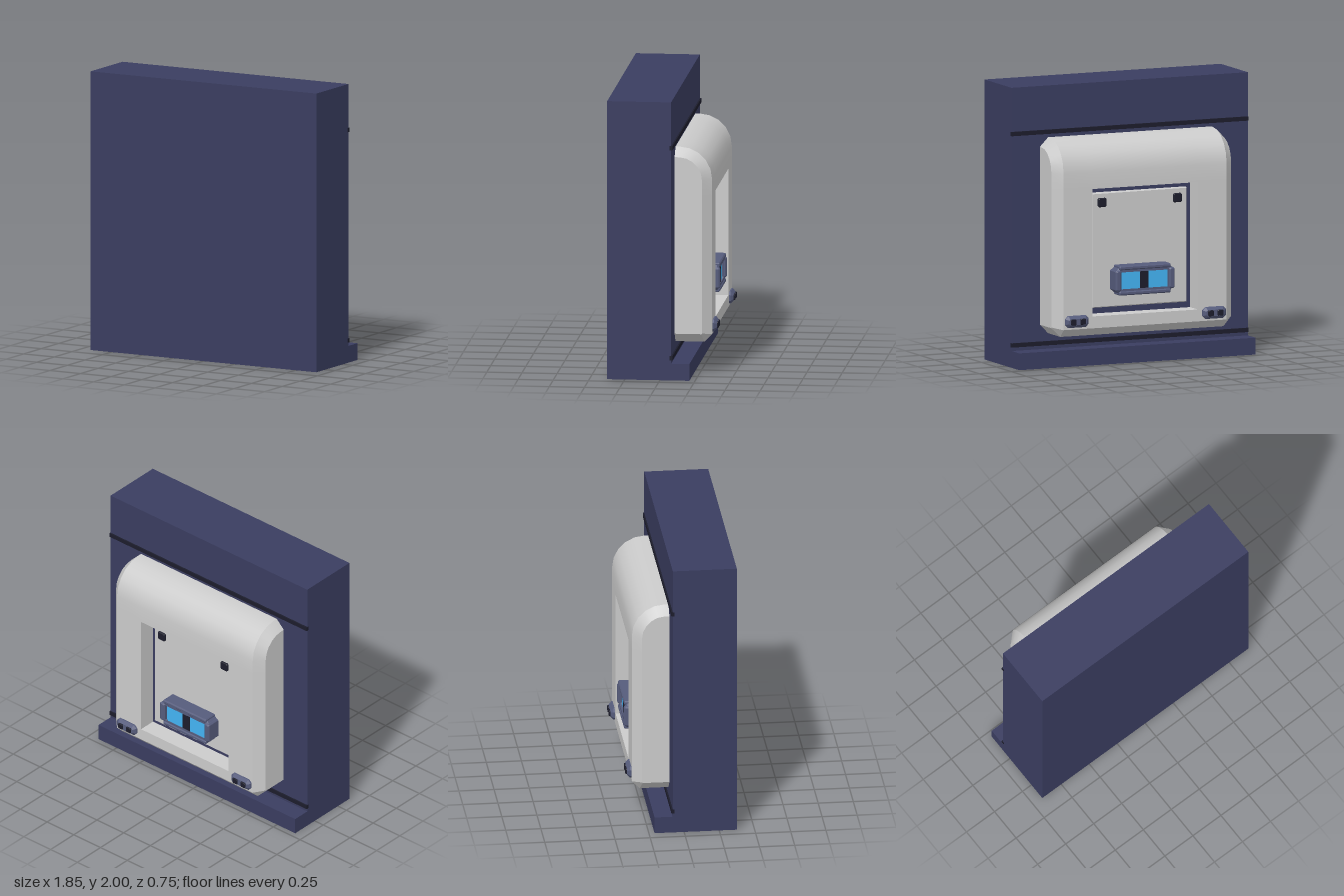
import * as THREE from 'three';
import { toCreasedNormals } from 'three/addons/utils/BufferGeometryUtils.js';

const mat = (color) => new THREE.MeshStandardMaterial({ color });
const navy = mat(0x3a3d60), trim = mat(0x565c7c), dark = mat(0x1c1d2c), glass = mat(0x44b4f4), grey = mat(0xcccccc);

// Recess opening in the shell, and the main depths
const HX = 0.41, Y0 = 0.37, Y1 = 1.28, WALL = -0.08, BACK = -0.34, FLOOR = -0.21;

// Side profile [z, y] of the shell, shrunk by i
function profile(i) {
  const c = Math.max(0.055 - i, 0.005);
  const pts = [[WALL, 0.23 + i], [BACK + i + c, 0.23 + i], [BACK + i, 0.23 + i + c], [BACK + i, Y0], [BACK + i, Y1]];
  for (let k = 0; k <= 5; k++) {
    const a = (k / 5) * Math.PI / 2, r = 0.23 - i;
    pts.push([-0.11 - r * Math.cos(a), 1.4 + r * Math.sin(a)]);
  }
  pts.push([WALL, 1.63 - i]);
  return pts;
}

// Bevelled shell lofted across x, with a rectangular recess in its back
function shellGeometry() {
  const v = [];
  const tri = (...p) => p.forEach((q) => v.push(...q));
  const quad = (a, b, c, d) => { tri(a, b, c); tri(a, c, d); };
  const sections = [[-0.7, 0.065], [-0.635, 0], [-HX, 0], [HX, 0], [0.635, 0], [0.7, 0.065]]
    .map(([x, i]) => profile(i).map(([z, y]) => [x, y, z]));
  for (let s = 0; s < 5; s++) {
    const A = sections[s], B = sections[s + 1];
    for (let j = 0; j < A.length - 1; j++) {
      if (s === 2 && j === 3) continue; // the opening
      quad(A[j], A[j + 1], B[j + 1], B[j]);
    }
  }
  // End caps
  const L = sections[0], R = sections[5];
  for (let j = 1; j < L.length - 1; j++) {
    tri(R[0], R[j], R[j + 1]);
    tri(L[0], L[j + 1], L[j]);
  }
  // Recess walls
  const ring = [[-HX, Y0], [HX, Y0], [HX, Y1], [-HX, Y1]];
  ring.forEach((p, k) => {
    const q = ring[(k + 1) % 4];
    quad([...p, BACK], [...p, FLOOR], [...q, FLOOR], [...q, BACK]);
  });
  const g = new THREE.BufferGeometry();
  g.setAttribute('position', new THREE.Float32BufferAttribute(v, 3));
  return toCreasedNormals(g, 0.5);
}

// Rectangle with cut corners, optionally used as a hole
function cutRect(w, h, c, Type = THREE.Shape) {
  const x = w / 2, y = h / 2;
  return new Type([[-x + c, -y], [x - c, -y], [x, -y + c], [x, y - c], [x - c, y], [-x + c, y], [-x, y - c], [-x, -y + c]]
    .map((p) => new THREE.Vector2(...p)));
}

// Plate whose outer edge is bevelled towards -z
function bevelPlate(shape, zFrom, zTo, bevel) {
  const g = new THREE.ExtrudeGeometry(shape, {
    depth: zFrom - zTo - bevel, bevelEnabled: true, bevelSegments: 1,
    bevelSize: bevel, bevelOffset: -bevel, bevelThickness: bevel,
  });
  g.rotateY(Math.PI);
  g.translate(0, 0, zFrom);
  return g;
}

export function createModel() {
  const root = new THREE.Group();
  const add = (name, geometry, material, x = 0, y = 0, parent = root) => {
    const m = new THREE.Mesh(geometry, material);
    m.name = name;
    m.position.set(x, y, 0);
    parent.add(m);
    return m;
  };
  // Box given by its ranges
  const box = (name, material, x0, x1, y0, y1, z0, z1, parent = root) => {
    const m = add(name, new THREE.BoxGeometry(x1 - x0, y1 - y0, z1 - z0), material, 0, 0, parent);
    m.position.set((x0 + x1) / 2, (y0 + y1) / 2, (z0 + z1) / 2);
    return m;
  };

  // Wall slab, ledge and cross strips
  box('wall', navy, -0.92, 0.92, 0, 2, WALL, 0.375);
  box('ledge', navy, -0.92, 0.92, 0, 0.12, -0.21, WALL);
  for (const y of [0.16, 1.67]) box('strip', dark, -0.923, 0.923, y - 0.015, y + 0.015, -0.09, -0.07);

  // Shell, recess floor and raised panel
  add('shell', shellGeometry(), grey);
  box('recessFloor', navy, -HX, HX, Y0, Y1, FLOOR, WALL);
  add('panel', bevelPlate(cutRect(0.74, 0.82, 0.002), FLOOR, -0.245, 0.008), grey, 0, 0.825);
  for (const s of [-1, 1]) {
    add('panelStud', bevelPlate(cutRect(0.065, 0.065, 0.008), -0.24, -0.26, 0.006), dark, s * 0.293, 1.165);
  }

  // Window unit on the panel
  const unit = new THREE.Group();
  unit.name = 'windowUnit';
  unit.position.y = 0.61;
  root.add(unit);
  const frame = cutRect(0.45, 0.19, 0.03);
  frame.holes.push(cutRect(0.37, 0.15, 0.012, THREE.Path));
  add('windowFrame', bevelPlate(frame, -0.245, -0.34, 0.012), trim, 0, 0, unit);
  box('windowBack', trim, -0.2, 0.2, -0.08, 0.08, -0.3, -0.245, unit);
  for (const s of [-1, 1]) {
    add('frameBar', bevelPlate(cutRect(0.4, 0.03, 0.006), -0.245, -0.347, 0.008), trim, 0, s * 0.09, unit);
    add('framePost', bevelPlate(cutRect(0.045, 0.15, 0.01), -0.245, -0.35, 0.01), trim, s * 0.208, 0, unit);
    box('pane', glass, s * 0.11 - 0.08, s * 0.11 + 0.08, -0.075, 0.075, -0.32, -0.29, unit);
  }
  box('divider', dark, -0.032, 0.032, -0.075, 0.075, -0.328, -0.29, unit);

  // Button pods at the lower corners
  for (const s of [-1, 1]) {
    const pod = new THREE.Group();
    pod.name = 'buttonPod';
    pod.position.set(s * 0.535, 0.342, 0);
    root.add(pod);
    add('podBody', bevelPlate(cutRect(0.18, 0.085, 0.022), -0.33, -0.37, 0.02), trim, 0, 0, pod);
    for (const x of [-0.037, 0.037]) {
      add('button', bevelPlate(cutRect(0.042, 0.042, 0.006), -0.36, -0.38, 0.003), dark, x, 0, pod);
    }
  }
  return root;
}
